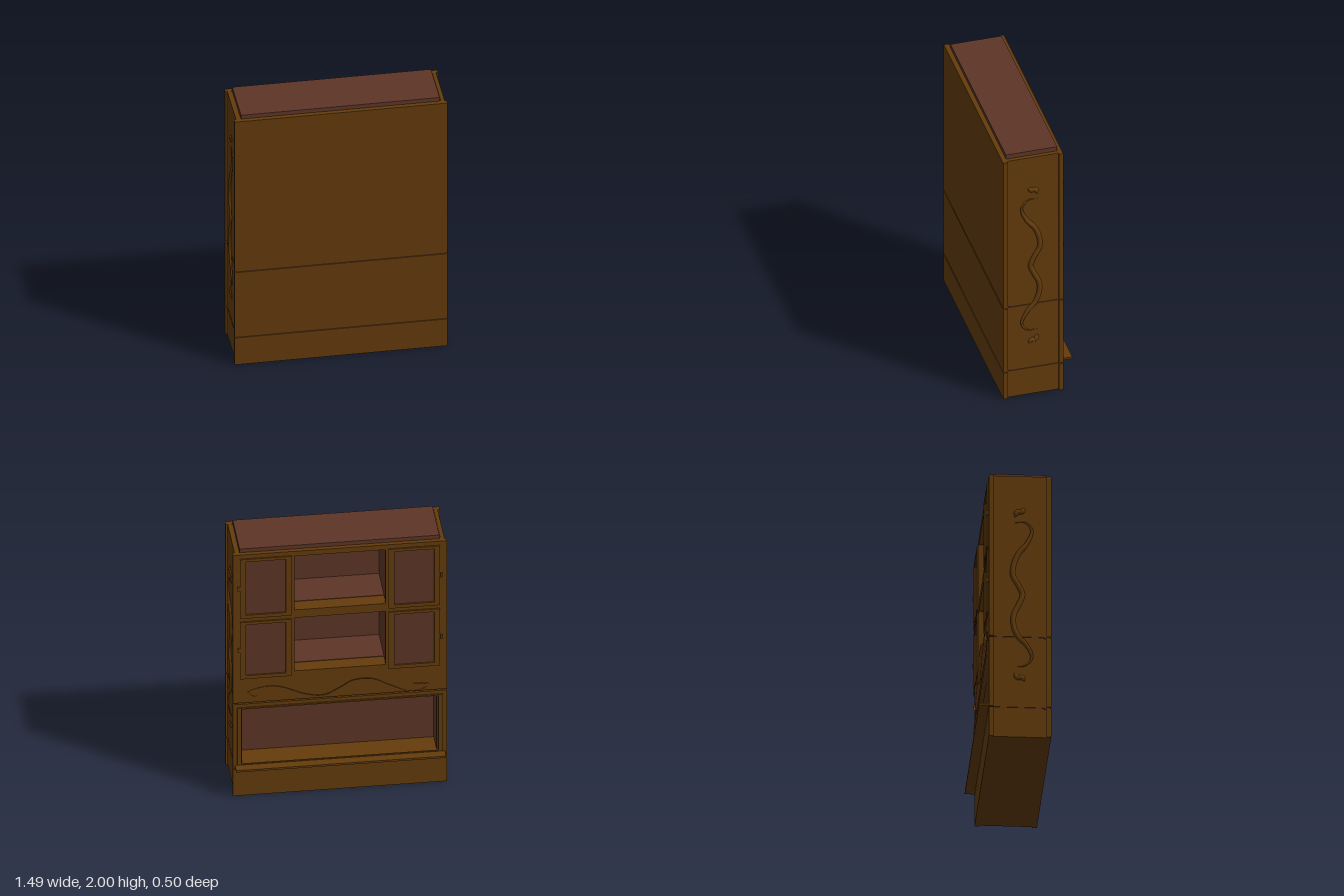
import * as THREE from 'three';

const wood = new THREE.MeshStandardMaterial({ color: 0x653c0c });
wood.name = 'golden brown wood';
const lining = new THREE.MeshStandardMaterial({ color: 0x5e3627 });
lining.name = 'red brown lining';

// Box given by its two extreme corners
function box(parent, name, mat, [x0, x1], [y0, y1], [z0, z1]) {
  const mesh = new THREE.Mesh(new THREE.BoxGeometry(x1 - x0, y1 - y0, z1 - z0), mat);
  mesh.position.set((x0 + x1) / 2, (y0 + y1) / 2, (z0 + z1) / 2);
  mesh.name = name;
  parent.add(mesh);
  return mesh;
}

function rect(Type, x0, x1, y0, y1) {
  return new Type([[x0, y0], [x1, y0], [x1, y1], [x0, y1]].map(p => new THREE.Vector2(...p)));
}

// Flat board with rectangular holes, each rectangle as [x0, x1, y0, y1]
function frame(parent, name, outer, holes, z0, z1) {
  const shape = rect(THREE.Shape, ...outer);
  shape.holes = holes.map(h => rect(THREE.Path, ...h));
  const geo = new THREE.ExtrudeGeometry(shape, { depth: z1 - z0, bevelEnabled: false });
  const mesh = new THREE.Mesh(geo, wood);
  mesh.position.z = z0;
  mesh.name = name;
  parent.add(mesh);
}

// Tapered half-round carving along a flat path; place(u, v, h) maps it onto a face
function carving(parent, name, points, width, height, place, flip) {
  const curve = new THREE.CatmullRomCurve3(points.map(([u, v]) => new THREE.Vector3(u, v, 0)));
  const n = points.length * 6, m = 6, pos = [], index = [];
  for (let i = 0; i <= n; i++) {
    const t = i / n, p = curve.getPointAt(t), d = curve.getTangentAt(t);
    const taper = Math.min(1, 0.1 + 4 * t, 0.1 + 4 * (1 - t));
    for (let j = 0; j <= m; j++) {
      const a = Math.PI * j / m, s = Math.cos(a) * width * taper / 2;
      pos.push(...place(p.x - d.y * s, p.y + d.x * s, Math.sin(a) * height * taper));
      if (i < n && j < m) {
        const q = i * (m + 1) + j, r = q + m + 1;
        if (flip) index.push(q, q + 1, r, q + 1, r + 1, r);
        else index.push(q, r, q + 1, q + 1, r, r + 1);
      }
    }
  }
  const geo = new THREE.BufferGeometry();
  geo.setAttribute('position', new THREE.Float32BufferAttribute(pos, 3));
  geo.setIndex(index);
  geo.computeVertexNormals();
  const mesh = new THREE.Mesh(geo, wood);
  mesh.name = name;
  parent.add(mesh);
}

export function createModel() {
  const model = new THREE.Group();
  model.name = 'displayCabinet';
  const tiers = [[0, 0.217], [0.225, 0.747], [0.757, 1.97]];

  // Outer panels in three tiers, with narrow grooves between them
  for (const t of tiers) {
    box(model, 'plainPanel', wood, [-0.74, 0.74], t, [0.215, 0.248]);
    for (const s of [-1, 1]) {
      box(model, 'sidePanel', wood, s < 0 ? [-0.725, -0.7] : [0.7, 0.725], t, [-0.15, 0.215]);
    }
  }
  box(model, 'plinthFace', wood, [-0.74, 0.74], tiers[0], [-0.18, -0.15]);
  box(model, 'plinthBase', wood, [-0.7, 0.7], [0, 0.21], [-0.15, 0.215]);

  // Lining seen in the grooves and at the top
  for (const y of [0.221, 0.752]) {
    const groove = [y - 0.006, y + 0.006];
    box(model, 'grooveLining', lining, [-0.732, 0.732], groove, [0.2, 0.24]);
    for (const s of [-0.708, 0.708]) {
      box(model, 'grooveLining', lining, [s - 0.012, s + 0.012], groove, [-0.17, 0.2]);
    }
  }
  box(model, 'topSlab', lining, [-0.69, 0.69], [1.94, 2], [-0.15, 0.215]);
  box(model, 'topRim', wood, [-0.7, 0.7], [1.935, 1.965], [-0.152, 0.215]);

  // Open face with two display bays, four doors and a wide niche
  const rows = [[0.99, 1.425], [1.49, 1.93]];
  const doorRows = [[0.975, 1.41], [1.47, 1.925]];
  const bays = rows.map(r => [-0.315, 0.315, ...r]);
  const doors = doorRows.flatMap(r => [[-0.66, -0.365, ...r], [0.365, 0.66, ...r]]);
  frame(model, 'upperFace', [-0.74, 0.74, ...tiers[2]], [...bays, ...doors], -0.18, -0.15);
  frame(model, 'nicheFace', [-0.74, 0.74, ...tiers[1]], [[-0.68, 0.68, 0.25, 0.715]], -0.18, -0.15);
  frame(model, 'nicheTrim', [-0.71, 0.71, 0.255, 0.72], [[-0.68, 0.68, 0.262, 0.71]], -0.19, -0.18);
  for (const [x0, x1, y0, y1] of doors) {
    frame(model, 'doorFrame', [x0 - 0.03, x1 + 0.03, y0 - 0.018, y1 + 0.012],
      [[x0 + 0.01, x1 - 0.01, y0 + 0.01, y1 - 0.01]], -0.19, -0.18);
    box(model, 'doorPanel', lining, [x0, x1], [y0, y1], [-0.172, -0.155]);
    const hx = Math.sign(x0) * 0.7;
    box(model, 'hinge', wood, [hx - 0.008, hx + 0.008], [(y0 + y1) / 2 - 0.015, (y0 + y1) / 2 + 0.015], [-0.195, -0.18]);
  }

  // Inside of the display bays
  box(model, 'bayBack', lining, [-0.34, 0.34], [0.97, 1.94], [0.2, 0.214]);
  for (const s of [-0.33, 0.33]) {
    box(model, 'bayWall', lining, [s - 0.012, s + 0.012], [0.97, 1.94], [-0.15, 0.2]);
  }
  for (const [y0, y1] of [[0.955, 0.985], [1.43, 1.485]]) {
    box(model, 'shelf', wood, [-0.34, 0.34], [y0, y1], [-0.15, 0.2]);
    box(model, 'shelfLining', lining, [-0.318, 0.318], [y1, y1 + 0.004], [-0.07, 0.2]);
  }

  // Inside of the wide niche
  box(model, 'nicheBack', lining, [-0.7, 0.7], [0.225, 0.74], [0.01, 0.03]);
  for (const s of [-0.685, 0.685]) {
    box(model, 'nicheWall', lining, [s - 0.014, s + 0.014], [0.225, 0.74], [-0.15, 0.01]);
  }
  box(model, 'nicheFloor', wood, [-0.7, 0.7], [0.225, 0.245], [-0.15, 0.01]);
  box(model, 'nicheCeiling', wood, [-0.7, 0.7], [0.72, 0.745], [-0.15, 0.01]);
  box(model, 'ledge', wood, [-0.725, 0.725], [0.235, 0.25], [-0.248, -0.15]);

  // Carved vines on both sides, paths as [z, y]
  const vine = [[0, 1.62], [0.07, 1.62], [0.115, 1.56], [0.08, 1.46], [0.02, 1.38], [-0.01, 1.3],
    [-0.015, 1.22], [0.025, 1.14], [0.05, 1.075], [0.025, 1], [-0.01, 0.92], [-0.01, 0.84],
    [0.02, 0.76], [0.08, 0.69], [0.115, 0.6], [0.07, 0.54], [0, 0.53]];
  const leaf = [[0.065, 1.73], [0.045, 1.7], [0.015, 1.7], [0, 1.66]];
  const lowLeaf = leaf.map(([z, y]) => [z, 2.15 - y]);
  for (const s of [-1, 1]) {
    const place = (z, y, h) => [s * (0.724 + h + Math.max(0, z) * 0.08), y, z];
    carving(model, 'sideVine', vine, 0.036, 0.017, place, s < 0);
    for (const l of [leaf, lowLeaf]) carving(model, 'sideVineLeaf', l, 0.035, 0.012, place, s < 0);
  }

  // Carved vine above the niche, paths as [x, y]
  const place = (x, y, h) => [x, y, -0.179 - h];
  const band = [[0.64, 0.79], [0.635, 0.85], [0.56, 0.885], [0.46, 0.9], [0.38, 0.885], [0.23, 0.82],
    [0.11, 0.805], [0, 0.86], [-0.08, 0.905], [-0.22, 0.91], [-0.36, 0.84], [-0.48, 0.775],
    [-0.58, 0.785], [-0.63, 0.83]];
  carving(model, 'bandVine', band, 0.045, 0.026, place, true);
  carving(model, 'bandVineLeaf', [[-0.62, 0.82], [-0.57, 0.84], [-0.52, 0.84], [-0.49, 0.87]], 0.04, 0.02, place, true);
  carving(model, 'bandVineLeaf', [[0.64, 0.87], [0.6, 0.83], [0.57, 0.81]], 0.035, 0.018, place, true);
  return model;
}
